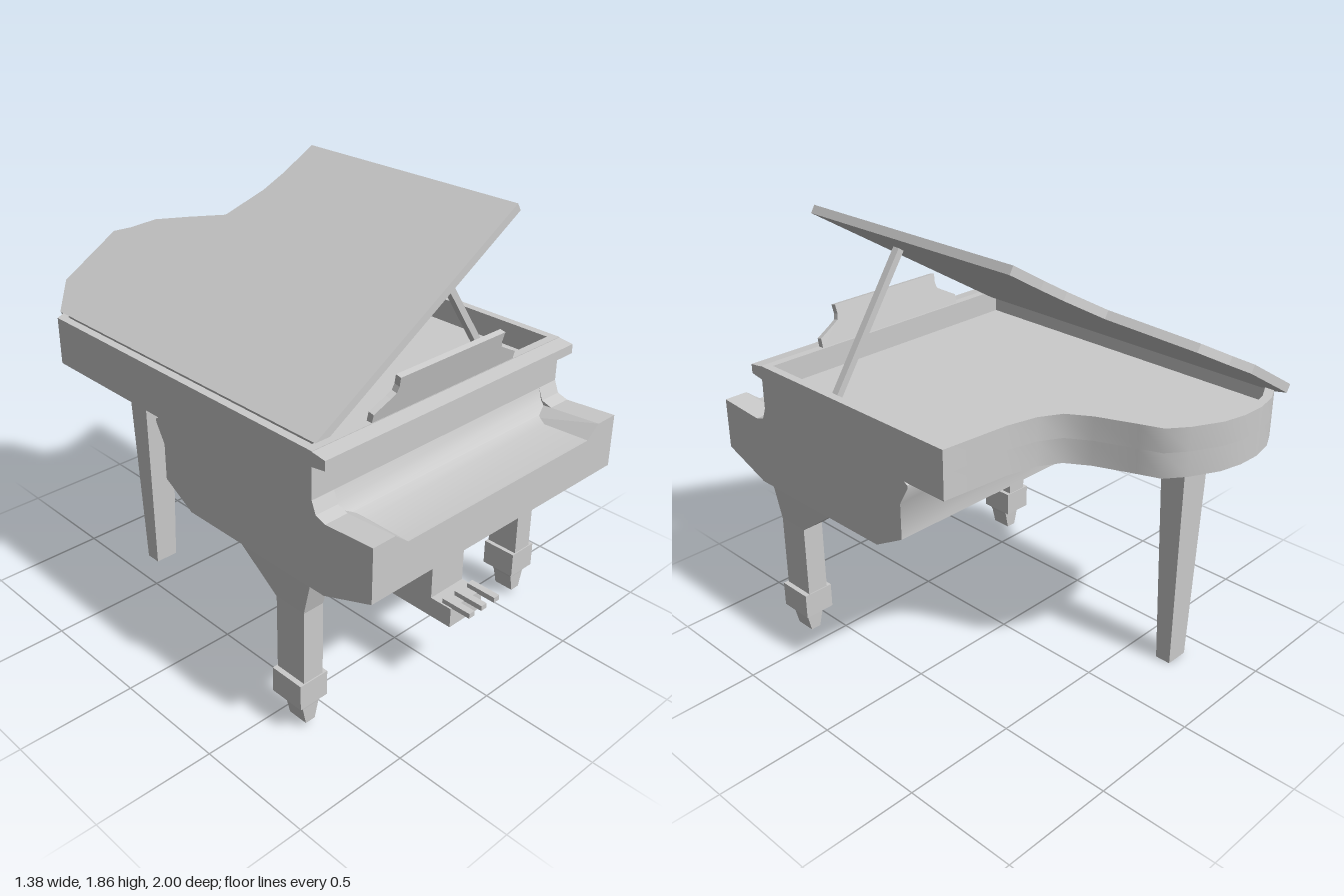
import * as THREE from 'three';
import { toCreasedNormals } from 'three/addons/utils/BufferGeometryUtils.js';

const material = new THREE.MeshStandardMaterial({ color: 0xcccccc });

function mesh(parent, name, geometry) {
  const m = new THREE.Mesh(geometry, material);
  m.name = name;
  parent.add(m);
  return m;
}

function box(x0, x1, y0, y1, z0, z1) {
  return new THREE.BoxGeometry(x1 - x0, y1 - y0, z1 - z0)
    .translate((x0 + x1) / 2, (y0 + y1) / 2, (z0 + z1) / 2);
}

// Box whose bottom is narrower than its top
function taperedBox(topW, topD, botW, botD, y0, y1, x, z) {
  const g = new THREE.BoxGeometry(topW, y1 - y0, topD);
  reshape(g, p => { if (p.y < 0) { p.x *= botW / topW; p.z *= botD / topD; } });
  return g.translate(x, (y0 + y1) / 2, z);
}

function reshape(geometry, rule) {
  const pos = geometry.attributes.position, p = new THREE.Vector3();
  for (let i = 0; i < pos.count; i++) {
    rule(p.fromBufferAttribute(pos, i));
    pos.setXYZ(i, p.x, p.y, p.z);
  }
  geometry.computeVertexNormals();
  return geometry;
}

const points = list => list.map(([a, b]) => new THREE.Vector2(a, b));

// Side profile of [z, y] points, extruded across x
function sideExtrude(profile, x0, x1) {
  return new THREE.ExtrudeGeometry(new THREE.Shape(points(profile)), { depth: x1 - x0, bevelEnabled: false })
    .rotateY(-Math.PI / 2).translate(x1, 0, 0);
}

// Plan outline of [x, z] points, extruded upward, with an optional hole
function planExtrude(outline, y0, y1, hole) {
  const flip = list => points(list.map(([x, z]) => [x, -z]));
  const shape = new THREE.Shape(flip(outline));
  if (hole) shape.holes.push(new THREE.Path(flip(hole)));
  return new THREE.ExtrudeGeometry(shape, { depth: y1 - y0, bevelEnabled: false })
    .rotateX(-Math.PI / 2).translate(0, y0, 0);
}

export function createModel() {
  const piano = new THREE.Group();
  piano.name = 'grandPiano';

  // Key bed and action case
  mesh(piano, 'keyBed', toCreasedNormals(sideExtrude([
    [1, 0.785], [1, 0.96], [0.8, 0.955], [0.755, 0.97], [0.725, 1.01], [0.71, 1.06],
    [-0.12, 1.06], [-0.165, 1.035], [-0.165, 1.02], [-0.12, 0.94], [-0.12, 0.785],
  ], -0.675, 0.675), 0.6));

  // Curved rim: solid soundboard below, hollow wall above
  const rimOutline = [
    [-0.675, 0.71], [0.675, 0.71], [0.675, -0.36], [0.38, -0.385], [0.25, -0.415], [0.16, -0.465],
    [0.1, -0.56], [0.035, -0.72], [0, -0.81], [-0.08, -0.87], [-0.2, -0.93], [-0.3, -0.952],
    [-0.4, -0.955], [-0.5, -0.935], [-0.58, -0.895], [-0.64, -0.84], [-0.675, -0.82],
  ];
  const rimInside = [
    [-0.64, 0.675], [0.64, 0.675], [0.64, -0.33], [0.37, -0.35], [0.23, -0.385], [0.13, -0.44],
    [0.065, -0.55], [0, -0.7], [-0.035, -0.785], [-0.1, -0.84], [-0.21, -0.895], [-0.3, -0.917],
    [-0.4, -0.92], [-0.49, -0.9], [-0.56, -0.865], [-0.64, -0.8],
  ];
  mesh(piano, 'soundboard', toCreasedNormals(planExtrude(rimOutline, 1.045, 1.15), 0.6));
  mesh(piano, 'rimWall', toCreasedNormals(planExtrude(rimOutline, 1.15, 1.25, rimInside), 0.6));

  // Overhanging lip above the keys
  mesh(piano, 'frontLip', sideExtrude([
    [0.675, 1.19], [0.71, 1.19], [0.775, 1.2], [0.775, 1.24], [0.69, 1.25], [0.675, 1.25],
  ], -0.675, 0.675));

  // Lid, hinged along the left side
  const lidAngle = Math.atan(0.605), hingeX = -0.63;
  const lidOutline = [
    [-0.63, 0.68], [0.375, 0.68], [0.375, -0.41], [0.23, -0.42], [0.13, -0.44], [-0.02, -0.51],
    [-0.08, -0.68], [-0.14, -0.84], [-0.21, -0.93], [-0.25, -1], [-0.51, -1], [-0.63, -0.87],
  ].map(([x, z]) => [(x - hingeX) / Math.cos(lidAngle), z]);
  const lid = mesh(piano, 'lid', planExtrude(lidOutline, -0.035, 0));
  lid.position.set(hingeX, 1.25, 0);
  lid.rotation.z = lidAngle;

  // Prop stick from the soundboard to the lid
  const foot = new THREE.Vector2(0.565, 1.14), tip = new THREE.Vector2(0.192, 1.7);
  const prop = mesh(piano, 'lidProp', new THREE.BoxGeometry(0.03, foot.distanceTo(tip), 0.032));
  prop.position.set((foot.x + tip.x) / 2, (foot.y + tip.y) / 2, 0.395);
  prop.rotation.z = Math.atan2(foot.x - tip.x, tip.y - foot.y);

  // Music desk leaning toward the player
  const half = [[0.385, 0], [0.385, 0.045], [0.31, 0.085], [0.285, 0.1], [0.278, 0.125], [0.282, 0.165]];
  const deskShape = new THREE.Shape(points([...half, ...half.map(([x, y]) => [-x, y]).reverse()]));
  const desk = mesh(piano, 'musicDesk', new THREE.ExtrudeGeometry(deskShape, { depth: 0.025, bevelEnabled: false }));
  desk.position.set(-0.005, 1.245, 0.682);
  desk.rotation.x = 0.22;

  // Left and right: cheek block, bracket and front leg
  for (const side of [1, -1]) {
    const half = new THREE.Group();
    half.name = side > 0 ? 'leftSide' : 'rightSide';
    half.scale.x = side;
    piano.add(half);

    const cheek = new THREE.ExtrudeGeometry(
      new THREE.Shape(points([[0.5, 0.955], [0.675, 0.955], [0.675, 1.01], [0.57, 1.01]])),
      { depth: 0.29, bevelEnabled: false }).translate(0, 0, 0.71);
    mesh(half, 'cheekBlock', reshape(cheek, p => { if (p.z < 0.8 && p.y > 1) p.y -= 0.02; }));
    mesh(half, 'cheekCove', sideExtrude(
      [[0.79, 0.95], [0.79, 0.99], [0.73, 1.01], [0.71, 1.06], [0.7, 0.95]], 0.57, 0.675));

    const bracket = sideExtrude([[1, 0.785], [0.77, 0.7], [0.03, 0.7], [-0.12, 0.785]], 0.51, 0.675);
    mesh(half, 'bracket', reshape(bracket, p => {
      if (p.x < 0.6) p.x += (0.785 - p.y) / 0.085 * 0.06;
    }));

    const leg = sideExtrude([
      [0.77, 0.7], [0.7, 0.7], [0.663, 0.56], [0.663, 0.22], [0.517, 0.22], [0.517, 0.56], [0.33, 0.7],
    ], 0.57, 0.675);
    mesh(half, 'frontLeg', reshape(leg, p => {
      if (p.y < 0.6) p.x += p.x < 0.6 ? 0.005 : -0.005;
    }));
    mesh(half, 'legCuff', box(0.556, 0.692, 0.13, 0.24, 0.513, 0.668));
    mesh(half, 'footCollar', taperedBox(0.11, 0.1, 0.08, 0.094, 0.1, 0.13, 0.622, 0.6));
    mesh(half, 'foot', taperedBox(0.08, 0.094, 0.046, 0.09, 0.025, 0.1, 0.622, 0.6));
  }

  // Rear leg
  mesh(piano, 'rearLeg', taperedBox(0.155, 0.12, 0.105, 0.07, 0, 1.05, -0.34, -0.67));

  // Pedal box with three pedals
  mesh(piano, 'pedalBox', sideExtrude([
    [0.52, 0.79], [0.52, 0.315], [0.87, 0.315], [0.87, 0.4], [0.77, 0.4], [0.77, 0.79],
  ], -0.098, 0.085));
  for (const x of [-0.075, -0.004, 0.072]) {
    mesh(piano, 'pedal', box(x - 0.015, x + 0.015, 0.398, 0.42, 0.82, 0.955));
  }

  return piano;
}
